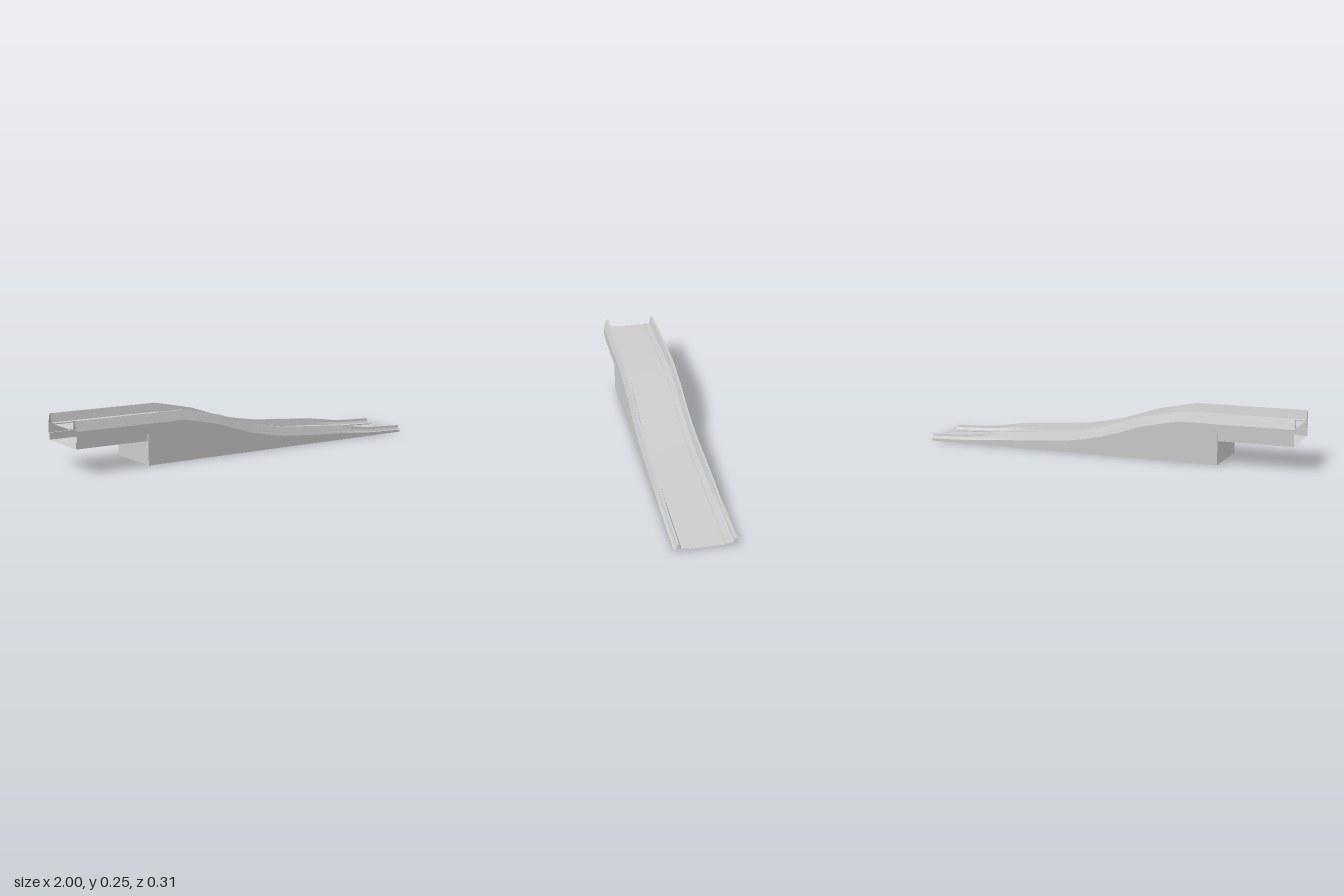
import * as THREE from 'three';

const material = new THREE.MeshStandardMaterial({ color: 0xcccccc, side: THREE.DoubleSide });
const STEP = -0.62; // where the deep body ends and the raised tongue begins

// Stations along the ramp: x, shoulder height, curb height, deck height, curb flare (0 = full, 1 = slim)
const stations = [
  [-1, 0.205, 0.253, 0.204, 0], [STEP, 0.205, 0.253, 0.204, 0], [-0.42, 0.205, 0.253, 0.204, 0],
  [-0.32, 0.187, 0.233, 0.186, 0], [-0.2, 0.16, 0.208, 0.159, 0], [-0.1, 0.126, 0.174, 0.126, 0],
  [0, 0.096, 0.143, 0.096, 0], [0.1, 0.076, 0.122, 0.076, 0], [0.2, 0.06, 0.106, 0.06, 0],
  [0.4, 0.045, 0.09, 0.045, 0], [0.58, 0.035, 0.076, 0.034, 0], [0.68, 0.027, 0.06, 0.025, 0.8],
  [0.78, 0.019, 0.045, 0.017, 1], [1, 0.011, 0.035, 0.007, 1],
];

const mix = THREE.MathUtils.lerp;

// Half cross-section [z, y] from the outer shoulder over the curb to the edge of the deck
function section([x, sh, top, deck, slim]) {
  const ledge = deck + 0.005, h = top - sh;
  return [
    [0.155, sh],
    [mix(0.15, 0.147, slim), sh + h * mix(0.31, 0.08, slim)],
    [mix(0.145, 0.141, slim), sh + h * mix(0.63, 0.55, slim)],
    [0.139, top],
    [0.128, top],
    [mix(0.123, 0.126, slim), mix(top, ledge, 0.5)],
    [0.118, ledge],
    [0.087, ledge],
    [0.087, deck],
  ];
}

// Ribbon between two rails of [x, y, z] points, smooth along its length
function ribbon(name, railA, railB) {
  const positions = [], index = [];
  railA.forEach((p, i) => {
    positions.push(...p, ...railB[i]);
    if (i) {
      const k = 2 * i;
      index.push(k - 2, k, k - 1, k - 1, k, k + 1);
    }
  });
  const geometry = new THREE.BufferGeometry();
  geometry.setAttribute('position', new THREE.Float32BufferAttribute(positions, 3));
  geometry.setIndex(index);
  geometry.computeVertexNormals();
  const mesh = new THREE.Mesh(geometry, material);
  mesh.name = name;
  return mesh;
}

// Orders the rails so the face points outward on both sides
const sided = (name, side, a, b) => (side > 0 ? ribbon(name, a, b) : ribbon(name, b, a));

export function createModel() {
  const group = new THREE.Group();
  group.name = 'ramp';
  const sections = stations.map(section);
  const rail = (j, side) => stations.map((s, i) => [s[0], sections[i][j][1], side * sections[i][j][0]]);
  const last = sections[0].length - 1;

  // Deck running down the middle
  group.add(ribbon('deck', rail(last, 1), rail(last, -1)));

  for (const side of [1, -1]) {
    // Curb and inner ledge
    const curb = new THREE.Group();
    curb.name = side > 0 ? 'frontCurb' : 'backCurb';
    for (let j = 0; j < last; j++) {
      curb.add(sided(j < 6 ? 'curbFace' : 'ledgeFace', side, rail(j, side), rail(j + 1, side)));
    }
    group.add(curb);

    // Outer walls: shallow along the tongue, down to the ground along the body
    const shoulder = rail(0, side);
    const wall = (name, top, y) => group.add(
      sided(name, side, top.map(([x, , z]) => [x, y, z]), top));
    wall('tongueWall', shoulder.slice(0, 2), 0.155);
    wall('bodyWall', shoulder.slice(1), 0);

    // Slightly inset lower side of the tongue with its narrow overhang
    const line = (y, z) => [[-1, y, side * z], [STEP, y, side * z]];
    group.add(sided('tongueOverhang', side, line(0.155, 0.147), line(0.155, 0.155)));
    group.add(sided('tongueSide', side, line(0.12, 0.147), line(0.155, 0.147)));

    // Narrow upright closing the body beside the tongue
    group.add(sided('bodyEndEdge', side,
      [[STEP, 0.12, side * 0.147], [STEP, 0.155, side * 0.147]],
      [[STEP, 0.12, side * 0.155], [STEP, 0.155, side * 0.155]]));
  }

  // Floor of the tongue, open at its far end
  group.add(ribbon('tongueFloor',
    [[-1, 0.12, -0.147], [STEP, 0.12, -0.147]],
    [[-1, 0.12, 0.147], [STEP, 0.12, 0.147]]));

  // End wall of the hollow body, below the tongue
  group.add(ribbon('bodyEndWall',
    [[STEP, 0, -0.155], [STEP, 0.12, -0.155]],
    [[STEP, 0, 0.155], [STEP, 0.12, 0.155]]));

  return group;
}
